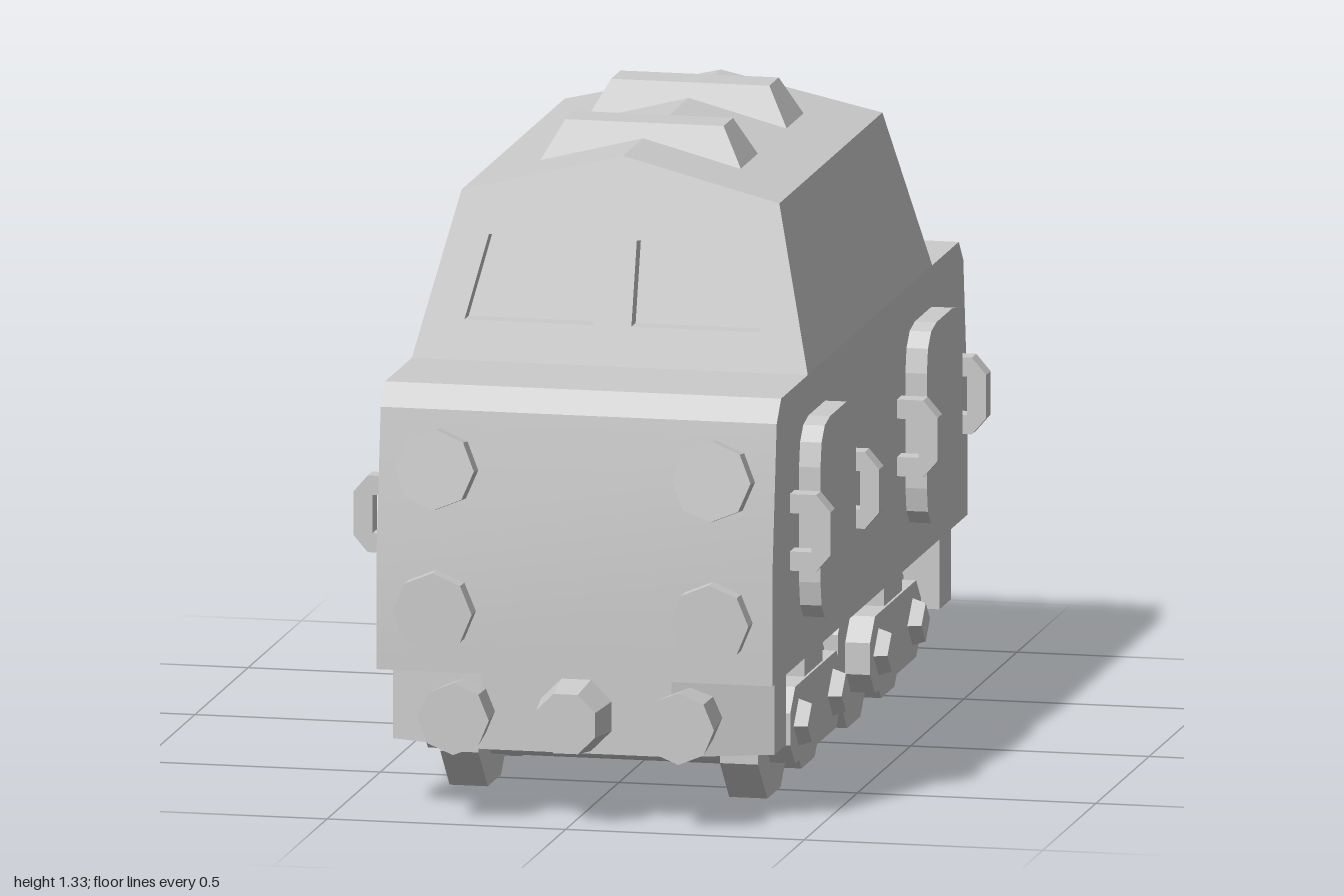
import * as THREE from 'three';
import { toCreasedNormals } from 'three/addons/utils/BufferGeometryUtils.js';

const flat = new THREE.MeshStandardMaterial({ color: 0xcccccc, flatShading: true });
const smooth = new THREE.MeshStandardMaterial({ color: 0xcccccc });

const toShape = (pts) => new THREE.Shape(pts.map(([x, y]) => new THREE.Vector2(x, y)));
const extrude = (shape, depth) => new THREE.ExtrudeGeometry(shape, { depth, bevelEnabled: false });

// Profile drawn in (z, y), extruded across the full width and centred on x = 0
const across = (pts, width) =>
  extrude(toShape(pts.map(([z, y]) => [-z, y])), width).translate(0, 0, -width / 2).rotateY(Math.PI / 2);

// Moves every vertex by a rule
function bend(geo, rule) {
  const p = geo.attributes.position;
  const v = new THREE.Vector3();
  for (let i = 0; i < p.count; i++) {
    v.fromBufferAttribute(p, i);
    rule(v);
    p.setXYZ(i, v.x, v.y, v.z);
  }
  geo.computeVertexNormals();
  return geo;
}

// Outline around two circles joined by straight lines
function pill(z0, z1, y, r, sides) {
  const pts = [];
  const n = sides / 2;
  const k = r / Math.cos(Math.PI / sides);
  for (let e = 0; e < 2; e++)
    for (let i = 0; i < n; i++) {
      const a = -Math.PI / 2 + e * Math.PI + (i + 0.5) * Math.PI / n;
      pts.push([(e ? z0 : z1) + k * Math.cos(a), y + k * Math.sin(a)]);
    }
  return pts;
}

export function createModel() {
  const model = new THREE.Group();
  const add = (name, geo, parent = model, mat = flat) => {
    const mesh = new THREE.Mesh(geo, mat);
    mesh.name = name;
    parent.add(mesh);
    return mesh;
  };

  // Lower hull with raked noses
  const nose = [[0.915, 0.3], [0.915, 0.55], [0.877, 0.84], [0.835, 0.885]];
  const hull = [...nose, ...nose.map(([z, y]) => [-z, y]).reverse()];
  add('hull', toCreasedNormals(across(hull, 0.83), 0.4), model, smooth);

  // Cab: gabled section whose ends lean inwards with height
  const cabPts = [[-0.415, 0.885], [0.415, 0.885], [0.333, 1.22], [0, 1.3], [-0.333, 1.22]];
  const endZ = (y) => 0.585 - 0.3 * (y - 0.885);
  const wall = 0.04;
  add('cab', bend(extrude(toShape(cabPts), 2).translate(0, 0, -1), (v) => {
    v.z *= endZ(v.y) - wall;
  }));

  // Cab end walls with window openings
  const wallShape = toShape(cabPts);
  for (const s of [-1, 1])
    wallShape.holes.push(new THREE.Path([[0.04, 0.965], [0.31, 0.965], [0.27, 1.135], [0.04, 1.135]]
      .map(([x, y]) => new THREE.Vector2(s * x, y))));
  for (const end of [0, 1]) {
    const g = bend(extrude(wallShape, wall), (v) => { v.z += endZ(v.y) - wall; });
    add('windowWall', g.rotateY(end * Math.PI));
  }

  // Roof vents, tapered on all sides
  for (const z of [-0.215, 0.215]) {
    const g = bend(new THREE.BoxGeometry(0.42, 0.08, 0.16), (v) => {
      if (v.y > 0) { v.x *= 0.79; v.z *= 0.55; }
    });
    add('roofVent', g.translate(0, 1.29, z));
  }

  // Fittings of each end
  for (const end of [0, 1]) {
    const group = new THREE.Group();
    group.name = end ? 'backEnd' : 'frontEnd';
    group.rotation.y = end * Math.PI;
    model.add(group);

    const disc = (name, x, y, z0, z1, r0, r1, tilt = 0, turn = 0) => {
      const g = new THREE.CylinderGeometry(r1, r0, z1 - z0, 8).rotateY(turn).rotateX(Math.PI / 2 - tilt);
      add(name, g.translate(x, y, (z0 + z1) / 2), group);
    };
    for (const s of [-1, 1]) {
      disc('upperLamp', s * 0.29, 0.72, 0.86, 0.935, 0.083, 0.083, 0.13);
      disc('lowerLamp', s * 0.29, 0.43, 0.88, 0.955, 0.083, 0.083);
      disc('buffer', s * 0.236, 0.22, 0.84, 1, 0.06, 0.075);
    }
    disc('coupler', 0, 0.22, 0.88, 1, 0.083, 0.067, 0, Math.PI / 8);

    // Wrap-around skirt, open towards the bogies
    const outer = [[0.4, 0.72], [0.4, 0.83], [0.2, 0.9]];
    const inner = [[0.16, 0.82], [0.31, 0.77], [0.31, 0.72]];
    const half = [...outer.map(([x, z]) => [x, z])];
    const pts = [...half, ...half.map(([x, z]) => [-x, z]).reverse(),
      ...inner.map(([x, z]) => [-x, z]).reverse(), ...inner];
    const skirt = extrude(toShape(pts.map(([x, z]) => [x, -z])), 0.17).rotateX(-Math.PI / 2);
    add('skirt', skirt.translate(0, 0.14, 0), group);
  }

  // Side doors and grab handles
  const door = new THREE.Shape();
  const w = 0.167, h = 0.21, c = 0.09;
  door.moveTo(-w + c, -h);
  door.lineTo(w - c, -h).quadraticCurveTo(w, -h, w, -h + c);
  door.lineTo(w, h - c).quadraticCurveTo(w, h, w - c, h);
  door.lineTo(-w + c, h).quadraticCurveTo(-w, h, -w, h - c);
  door.lineTo(-w, -h + c).quadraticCurveTo(-w, -h, -w + c, -h);
  const doorGeo = new THREE.ExtrudeGeometry(door, { depth: 0.06, bevelEnabled: false, curveSegments: 3 })
    .rotateY(Math.PI / 2);
  const handle = toShape([[0.4, 0.51], [0.47, 0.51], [0.5, 0.545], [0.5, 0.635], [0.47, 0.67], [0.4, 0.67],
    [0.4, 0.63], [0.46, 0.63], [0.46, 0.55], [0.4, 0.55]]);
  const handleGeo = extrude(handle, 0.042).translate(0, 0, -0.021);
  for (const side of [0, 1]) {
    const group = new THREE.Group();
    group.name = side ? 'rightSide' : 'leftSide';
    group.rotation.y = side * Math.PI;
    model.add(group);
    for (const s of [-1, 1]) {
      add('door', doorGeo, group).position.set(0.4, 0.59, s * 0.5);
      for (const z of [0.275, 0.732]) add('handle', handleGeo, group).position.z = s * z;
    }
  }

  // Bogies: drum, side frames, wheels and axle bosses
  const axles = [0.215, 0.535];
  for (const s of [-1, 1]) {
    const bogie = new THREE.Group();
    bogie.name = s > 0 ? 'frontBogie' : 'backBogie';
    bogie.rotation.y = s > 0 ? 0 : Math.PI;
    model.add(bogie);
    add('drum', toCreasedNormals(across(pill(...axles, 0.15, 0.09, 16), 0.54), 0.6), bogie, smooth);
    add('sideFrame', across(pill(...axles, 0.15, 0.08, 8), 0.77), bogie);
    add('pivotBlock', new THREE.BoxGeometry(0.76, 0.14, 0.17).translate(0, 0.26, 0.375), bogie);
    for (const x of [-1, 1])
      for (const z of axles) {
        const wheel = new THREE.CylinderGeometry(0.162, 0.162, 0.08, 8).rotateY(Math.PI / 8).rotateZ(Math.PI / 2);
        add('wheel', wheel.translate(x * 0.293, 0.15, z), bogie);
        const boss = new THREE.CylinderGeometry(0.04, 0.055, 0.045, 4).rotateZ(-x * Math.PI / 2);
        add('axleBoss', boss.translate(x * 0.39, 0.15, z), bogie);
      }
  }

  // Rounded tank between the bogies
  const tank = new THREE.CylinderGeometry(0.16, 0.16, 0.4, 24).rotateX(Math.PI / 2).scale(2, 1, 1);
  add('tank', tank.translate(0, 0.3, 0), model, smooth);

  return model;
}
